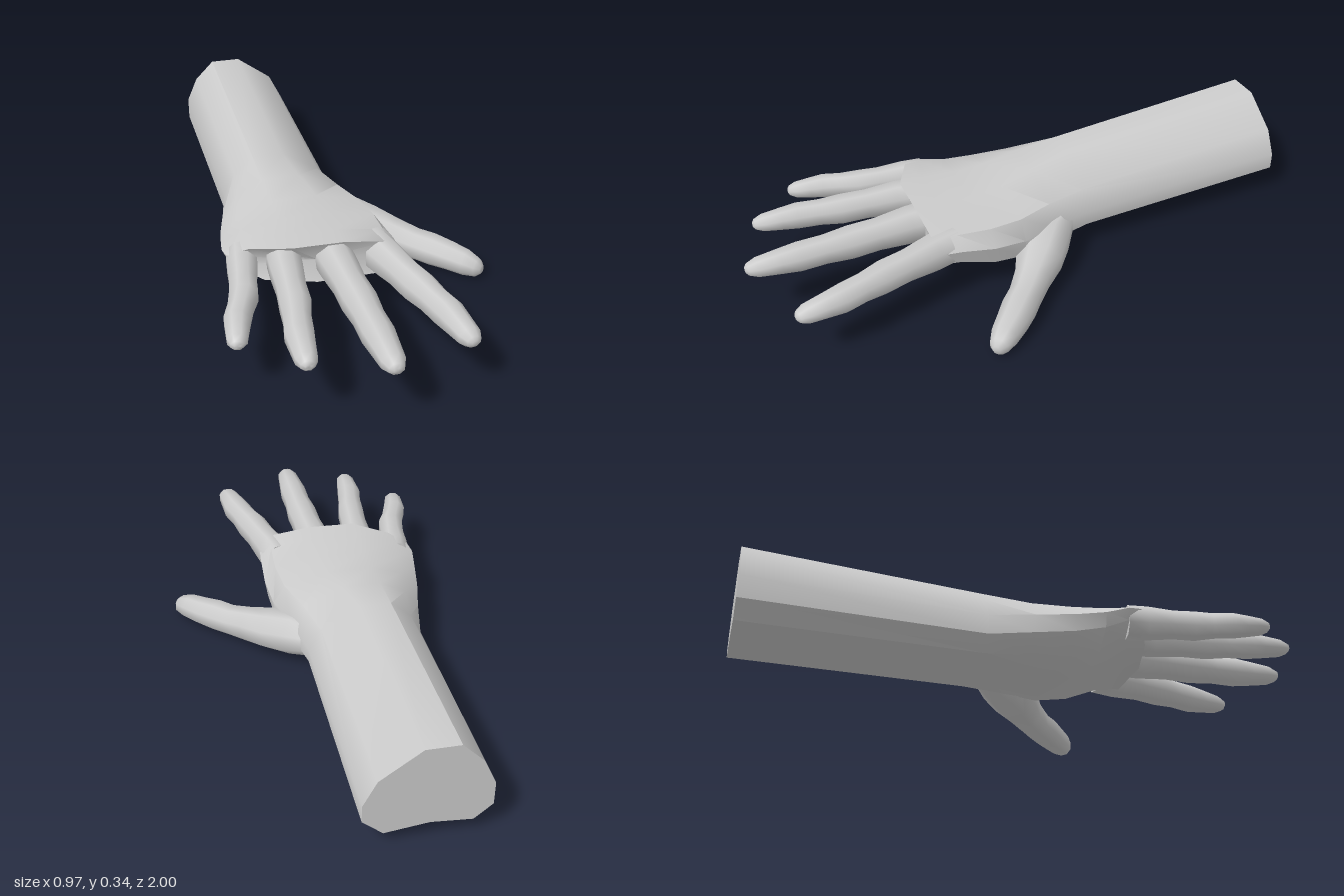
import * as THREE from 'three';
import { toCreasedNormals } from 'three/addons/utils/BufferGeometryUtils.js';

// Skin a list of rings (arrays of Vector3, same length) and close both ends
function loft(rings, crease) {
  const n = rings[0].length, pos = [], idx = [];
  const add = (p) => pos.push(p.x, p.y, p.z) / 3 - 1;
  rings.forEach((r) => r.forEach(add));
  for (let k = 0; k < rings.length - 1; k++) {
    for (let i = 0; i < n; i++) {
      const a = k * n + i, b = k * n + (i + 1) % n;
      idx.push(a, b, b + n, a, b + n, a + n);
    }
  }
  const centre = (r) => r.reduce((s, p) => s.add(p), new THREE.Vector3()).divideScalar(n);
  const first = add(centre(rings[0])), last = add(centre(rings[rings.length - 1]));
  const off = (rings.length - 1) * n;
  for (let i = 0; i < n; i++) {
    const j = (i + 1) % n;
    idx.push(first, j, i, last, off + i, off + j);
  }
  const geo = new THREE.BufferGeometry();
  geo.setAttribute('position', new THREE.Float32BufferAttribute(pos, 3));
  geo.setIndex(idx);
  return toCreasedNormals(geo, crease);
}

// Digit: path of [x, y, z, half width, half height]
function digit(path, sides = 8) {
  const pts = path.map((p) => new THREE.Vector3(p[0], p[1], p[2]));
  const up = new THREE.Vector3(0, 1, 0);
  const rings = path.map(([, , , rx, ry], k) => {
    const dir = pts[Math.min(k + 1, pts.length - 1)].clone().sub(pts[Math.max(k - 1, 0)]).setY(0).normalize();
    const side = up.clone().cross(dir);
    return Array.from({ length: sides }, (_, i) => {
      const a = ((i + 0.5) / sides) * Math.PI * 2;
      return pts[k].clone().addScaledVector(side, Math.cos(a) * rx * 1.06).addScaledVector(up, Math.sin(a) * ry * 1.06);
    });
  });
  return loft(rings, 0.95);
}

// Cross-sections as fractions of width and height
const ARM = [[.835, 0], [1, .19], [1, .39], [.89, .68], [.557, 1], [.28, 1], [.1, .76], [0, .46], [0, .19], [.147, .02], [.48, .06]];
const PALM = [[.85, 0], [.98, .2], [1, .55], [.93, .85], [.65, 1], [.35, 1], [.12, .86], [0, .6], [.03, .35], [.2, .05], [.5, 0]];

// Stations: z, left x, right x, bottom, top, blend from arm to palm, slant to the little finger
const STATIONS = [
  [-1, -.32, .075, .045, .342, 0, 0],
  [-.2, -.32, .075, .045, .297, 0, 0],
  [-.05, -.352, .11, .048, .284, .4, 0],
  [.08, -.385, .15, .05, .268, .8, 0],
  [.2, -.402, .162, .075, .265, 1, .1],
  [.32, -.412, .158, .125, .27, 1, .3],
  [.405, -.405, .15, .135, .273, 1, .5],
];

function armAndPalm() {
  const rings = STATIONS.map(([z, x0, x1, y0, y1, t, slant]) => ARM.map(([u, v], i) => {
    const x = THREE.MathUtils.lerp(x0, x1, THREE.MathUtils.lerp(u, PALM[i][0], t));
    const y = THREE.MathUtils.lerp(y0, y1, THREE.MathUtils.lerp(v, PALM[i][1], t));
    return new THREE.Vector3(x, y, z - Math.max(0, -.2 - x) * slant);
  }));
  return loft(rings, 0.7);
}

// Fingers: base, mid knuckle, end knuckle, tip as [x, y, z], and half width at the base
const FINGERS = {
  littleFinger: [[-.35, .19, .27], [-.39, .19, .5], [-.435, .188, .62], [-.46, .188, .745], .05],
  ringFinger: [[-.225, .2, .33], [-.252, .203, .61], [-.278, .205, .76], [-.29, .208, .915], .054],
  middleFinger: [[-.068, .2, .34], [-.058, .203, .64], [-.055, .206, .82], [-.055, .212, 1], .06],
  indexFinger: [[.08, .19, .32], [.15, .192, .6], [.19, .19, .75], [.215, .188, .91], .059],
};

function finger([base, mid, end, tip, r]) {
  const on = (a, b, t, s, h) => [...a.map((v, i) => v + (b[i] - v) * t), r * s, r * h];
  return digit([
    on(base, mid, 0, 1.05, 1.1),
    on(base, mid, .3, 1.0, 1.1),
    on(base, mid, .68, .88, .93),
    on(base, mid, 1, .92, .95),
    on(mid, end, .5, .8, .82),
    on(mid, end, 1, .83, .82),
    on(end, tip, .35, .73, .7),
    on(end, tip, .78, .62, .53),
    on(end, tip, .95, .4, .32),
    on(end, tip, 1, .18, .14),
  ]);
}

const THUMB = [
  [.03, .12, -.12, .05, .06], [.09, .1, -.03, .085, .075], [.17, .085, .04, .082, .068],
  [.24, .07, .1, .062, .06], [.3, .06, .155, .056, .052], [.345, .057, .2, .058, .053],
  [.39, .052, .245, .053, .048], [.435, .046, .295, .045, .044], [.465, .04, .328, .032, .032], [.476, .038, .342, .014, .015],
];

export function createModel() {
  const model = new THREE.Group();
  model.name = 'handAndForearm';
  const material = new THREE.MeshStandardMaterial({ color: 0xcccccc });
  const part = (name, geometry) => {
    const mesh = new THREE.Mesh(geometry, material);
    mesh.name = name;
    model.add(mesh);
  };
  part('forearmAndPalm', armAndPalm());
  for (const [name, spec] of Object.entries(FINGERS)) part(name, finger(spec));
  part('thumb', digit(THUMB));
  return model;
}
